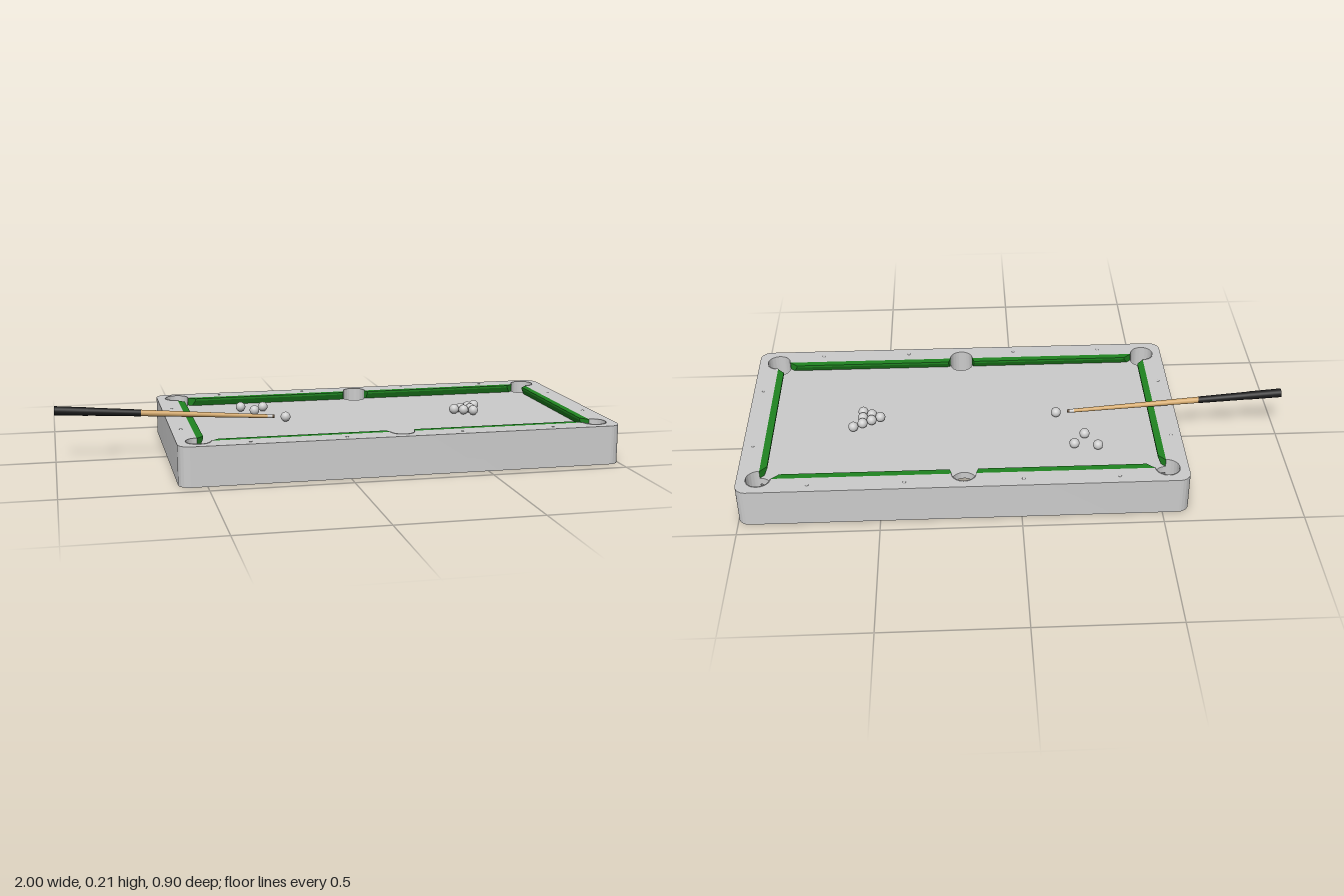
import * as THREE from 'three';
import { toCreasedNormals } from 'three/addons/utils/BufferGeometryUtils.js';

const mat = (name, color) => Object.assign(new THREE.MeshStandardMaterial({ color }), { name });

const TOP = 0.142, BED = 0.1125; // rail top and bed heights
const W = 0.7225, H = 0.372;     // half size of the opening, pockets sit on its edge
const POCKET = 0.043;

// pocket x, y and the start and end angle of its arc in the opening outline
const pockets = [
  [W, -H, 1, 0.5], [W, H, 1.5, 1], [0, H, 0, 1],
  [-W, H, 0, 1.5], [-W, -H, 0.5, 0], [0, -H, 1, 0],
].map(([x, y, a, b]) => [x, y, a * Math.PI, b * Math.PI]);

// outline of the opening: pockets bulge outward, or bite inward for the bed
function outline(path, biteIn) {
  for (const [x, y, a, b] of pockets) path.absarc(x, y, POCKET, a, b, biteIn);
  path.closePath();
  return path;
}

// extrude a plan shape upward from y
function slab(shape, y, height) {
  const geo = new THREE.ExtrudeGeometry(shape, { depth: height, bevelEnabled: false, curveSegments: 24 });
  geo.rotateX(-Math.PI / 2).translate(0, y, 0);
  return toCreasedNormals(geo, 0.6);
}

// cushion prism along z, nose toward +x, ends cut back by k0 and k1 per unit of depth
function cushionGeometry(z0, z1, k0, k1) {
  const profile = new THREE.Shape([
    [0, BED], [0.014, BED], [0.025, 0.134], [0.025, TOP], [0, TOP],
  ].map(([d, y]) => new THREE.Vector2(d, y)));
  const geo = new THREE.ExtrudeGeometry(profile, { depth: 1, bevelEnabled: false });
  const p = geo.attributes.position;
  for (let i = 0; i < p.count; i++) {
    const d = p.getX(i);
    p.setZ(i, p.getZ(i) < 0.5 ? z0 + k0 * d : z1 - k1 * d);
  }
  geo.computeVertexNormals();
  return geo;
}

export function createModel() {
  const grey = mat('table grey', 0xcccccc);
  const green = mat('cushion green', 0x1f8420);
  const wood = mat('cue wood', 0xd2a86c);
  const black = mat('grip black', 0x1c1c1c);
  const brown = mat('cue tip brown', 0x5a4630);

  const model = new THREE.Group();
  model.name = 'billiardTable';
  const table = new THREE.Group();
  table.name = 'table';
  table.position.x = 0.2015;
  model.add(table);

  const add = (parent, name, geo, material, x = 0, y = 0, z = 0) => {
    const mesh = new THREE.Mesh(geo, material);
    mesh.name = name;
    mesh.position.set(x, y, z);
    parent.add(mesh);
    return mesh;
  };

  // rounded frame, open in the middle and at the pockets
  const X = 0.7985, Z = 0.448, R = 0.042;
  const body = new THREE.Shape();
  body.absarc(X - R, Z - R, R, 0, Math.PI / 2);
  body.absarc(R - X, Z - R, R, Math.PI / 2, Math.PI);
  body.absarc(R - X, R - Z, R, Math.PI, Math.PI * 1.5);
  body.absarc(X - R, R - Z, R, Math.PI * 1.5, Math.PI * 2);
  body.closePath();
  body.holes.push(outline(new THREE.Path(), false));
  add(table, 'frame', slab(body, 0, TOP), grey);

  // bed slab, cut away at the pockets
  const underside = 0.086;
  add(table, 'bed', slab(outline(new THREE.Shape(), true), underside, BED - underside), grey);

  // low lips around the pockets
  for (const [x, y, a, b] of pockets) {
    const lip = new THREE.Shape();
    lip.absarc(x, y, POCKET + 0.002, a, b, false);
    lip.absarc(x, y, POCKET, b, a, true);
    lip.closePath();
    add(table, 'pocketLip', slab(lip, TOP, 0.002), grey);
  }

  // cushions: two on each long side, one on each short side
  const longA = cushionGeometry(0.043, 0.678, 0.3, 1.1);
  const longB = cushionGeometry(-0.678, -0.043, 1.1, 0.3);
  const short = cushionGeometry(-0.328, 0.328, 1.1, 1.1);
  for (const s of [1, -1]) {
    for (const geo of [longA, longB]) {
      add(table, 'longCushion', geo, green, 0, 0, s * H).rotation.y = s * Math.PI / 2;
    }
    add(table, 'endCushion', short, green, s * W).rotation.y = s > 0 ? Math.PI : 0;
  }

  // domed sight markers on the rails
  const sight = new THREE.SphereGeometry(0.006, 12, 4, 0, Math.PI * 2, 0, Math.PI / 2).scale(1, 0.35, 1);
  for (const s of [1, -1]) {
    for (const x of [-0.548, -0.209, 0.209, 0.548]) add(table, 'sight', sight, grey, x, TOP, s * 0.412);
    for (const z of [-0.176, 0.176]) add(table, 'sight', sight, grey, s * 0.762, TOP, z);
  }

  // balls: loose ones, cue ball and the racked cluster
  const r = 0.0185;
  const ball = new THREE.SphereGeometry(r, 24, 16);
  const spots = [
    [-0.289, -0.211], [-0.204, -0.198], [-0.246, -0.139], [-0.15, 0],
    [0.51, 0], [0.542, -0.0185], [0.542, 0.0185],
    [0.575, -0.037], [0.575, 0], [0.575, 0.037], [0.608, -0.058],
  ];
  for (const [x, z] of spots) add(model, 'ball', ball, grey, x, BED + r, z);

  // cue: tapered sections laid from butt to tip, tilted down to the cue ball
  const cue = new THREE.Group();
  cue.name = 'cue';
  const butt = new THREE.Vector3(-0.999, 0.192, 0), tip = new THREE.Vector3(-0.193, 0.134, 0);
  const dir = tip.clone().sub(butt);
  const length = dir.length();
  cue.position.copy(butt);
  cue.quaternion.setFromUnitVectors(new THREE.Vector3(0, 1, 0), dir.normalize());
  const sections = [
    ['butt', 0, 0.15, 0.0165, 0.0155, black],
    ['grip', 0.15, 0.386, 0.0148, 0.0125, black],
    ['shaft', 0.386, 0.968, 0.0118, 0.007, wood],
    ['ferrule', 0.968, 0.99, 0.007, 0.0068, grey],
    ['tip', 0.99, 1, 0.0068, 0.006, brown],
  ];
  for (const [name, a, b, r0, r1, material] of sections) {
    const h = (b - a) * length;
    add(cue, name, new THREE.CylinderGeometry(r1, r0, h, 24), material, 0, a * length + h / 2, 0);
  }
  model.add(cue);

  return model;
}
